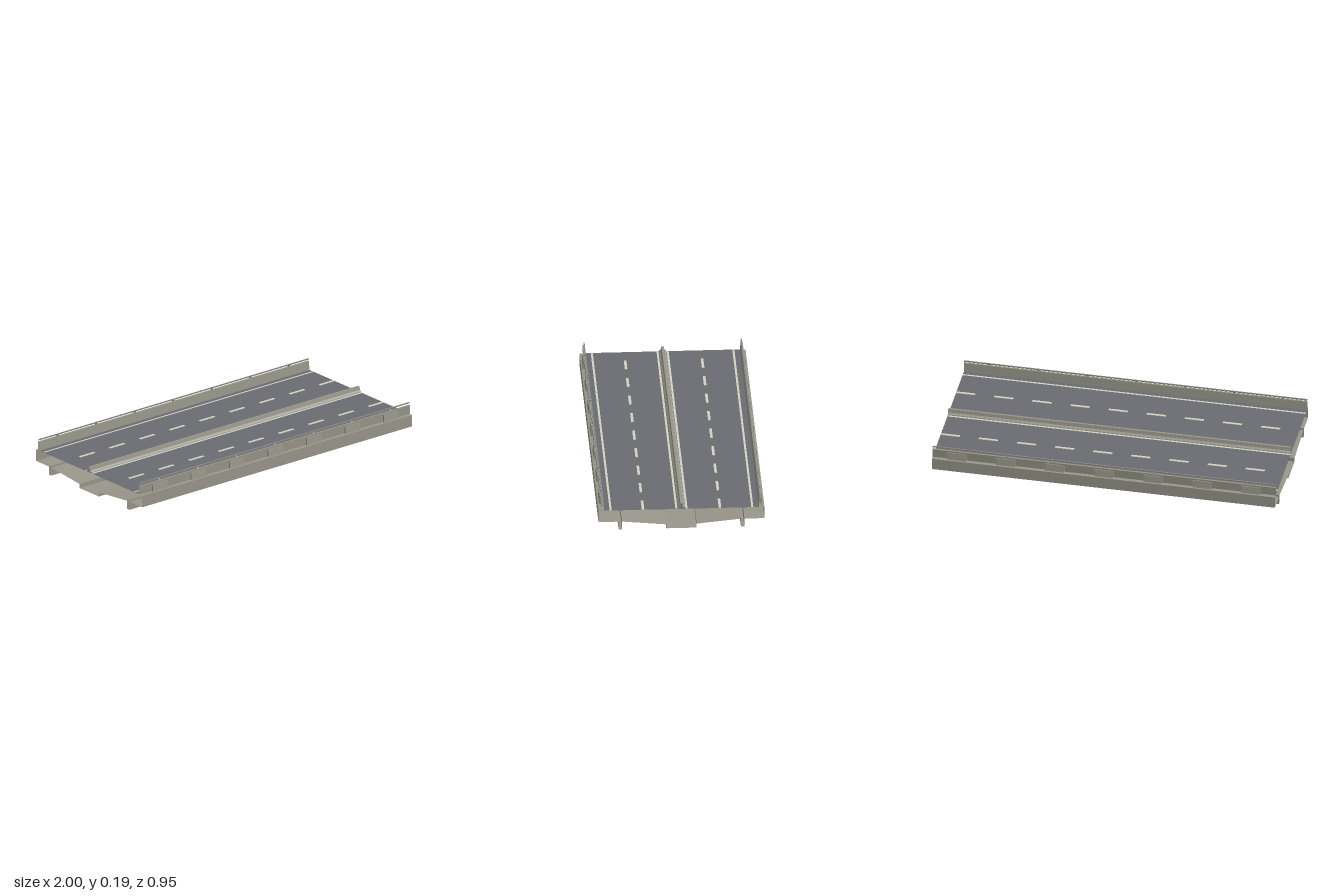
import * as THREE from 'three';

const mat = (name, color) => {
  const m = new THREE.MeshStandardMaterial({ color, side: THREE.DoubleSide });
  m.name = name;
  return m;
};

// Open-ended flat-shaded sheet: sweeps a [z, y] profile along x
function sweep(profile, x0 = -1, x1 = 1) {
  const pos = [];
  for (let i = 0; i < profile.length - 1; i++) {
    const [z0, y0] = profile[i], [z1, y1] = profile[i + 1];
    pos.push(x0, y0, z0, x1, y0, z0, x1, y1, z1);
    pos.push(x0, y0, z0, x1, y1, z1, x0, y1, z1);
  }
  const g = new THREE.BufferGeometry();
  g.setAttribute('position', new THREE.Float32BufferAttribute(pos, 3));
  g.computeVertexNormals();
  return g;
}

// Solid block: a [z, y] profile extruded along x, centred on x = 0
function block(profile, width) {
  const shape = new THREE.Shape(profile.map(([z, y]) => new THREE.Vector2(-z, y)));
  const g = new THREE.ExtrudeGeometry(shape, { depth: width, bevelEnabled: false });
  return g.translate(0, 0, -width / 2).rotateY(Math.PI / 2);
}

export function createModel() {
  const group = new THREE.Group();
  group.name = 'roadBridgeSection';
  const concrete = mat('concrete', 0x98968a);
  const asphalt = mat('asphalt', 0x6a6a72);
  const paint = mat('road paint', 0xd2d2c0);
  const metal = mat('rail metal', 0x8a8a84);

  const add = (name, geometry, material, parent = group) => {
    const mesh = new THREE.Mesh(geometry, material);
    mesh.name = name;
    parent.add(mesh);
    return mesh;
  };

  // Concrete shell: stepped underside, beams, fascia and parapet, mirrored
  const half = [
    [0.087, 0], [0.087, 0.025], [0.34, 0.05], [0.34, 0], [0.36, 0], [0.36, 0.05],
    [0.475, 0.05], [0.475, 0.12], [0.456, 0.122], [0.458, 0.175], [0.447, 0.175], [0.442, 0.122],
  ];
  const mirrored = half.map(([z, y]) => [-z, y]).reverse();
  add('concreteShell', sweep([...mirrored, ...half]), concrete);

  // Road surface
  const deckY = 0.122;
  add('roadSurface', sweep([[0.442, deckY], [-0.442, deckY]]), asphalt);

  // Central barrier
  add('centralBarrier', sweep([
    [0.022, deckY], [0.02, 0.128], [0.01, 0.136], [0.006, 0.156],
    [-0.006, 0.156], [-0.01, 0.136], [-0.02, 0.128], [-0.022, deckY],
  ]), concrete);

  const buttress = block([[0.453, 0.122], [0.467, 0.122], [0.462, 0.165], [0.453, 0.165]], 0.11);
  const dash = new THREE.BoxGeometry(1 / 9, 0.003, 0.015);
  const post = block([[0.459, 0.174], [0.45, 0.189], [0.447, 0.188], [0.456, 0.173]], 0.012);

  for (const side of [1, -1]) {
    const half = new THREE.Group();
    half.name = side > 0 ? 'frontCarriageway' : 'backCarriageway';
    half.rotation.y = side > 0 ? 0 : Math.PI;
    group.add(half);

    // Solid edge lines
    for (const z of [0.405, 0.029]) {
      add('edgeLine', sweep([[z + 0.006, deckY + 0.002], [z - 0.006, deckY + 0.002]]), paint, half);
    }

    // Lane dashes run in the same direction on both carriageways
    for (let i = 0; i < 9; i++) {
      add('laneDash', dash, paint).position.set(-1 + (i + 0.5) * 2 / 9 + 1 / 18, deckY + 0.0015, side * 0.22);
    }

    // Buttresses and rail posts
    for (let i = 0; i < 7; i++) {
      const x = (i - 3) * 2 / 7;
      add('parapetButtress', buttress, concrete, half).position.x = x;
      add('railPost', post, metal, half).position.x = x;
    }

    // Hand rail
    add('handRail', sweep([
      [0.453, 0.185], [0.453, 0.191], [0.446, 0.191], [0.446, 0.185], [0.453, 0.185],
    ]), metal, half);
  }
  return group;
}
